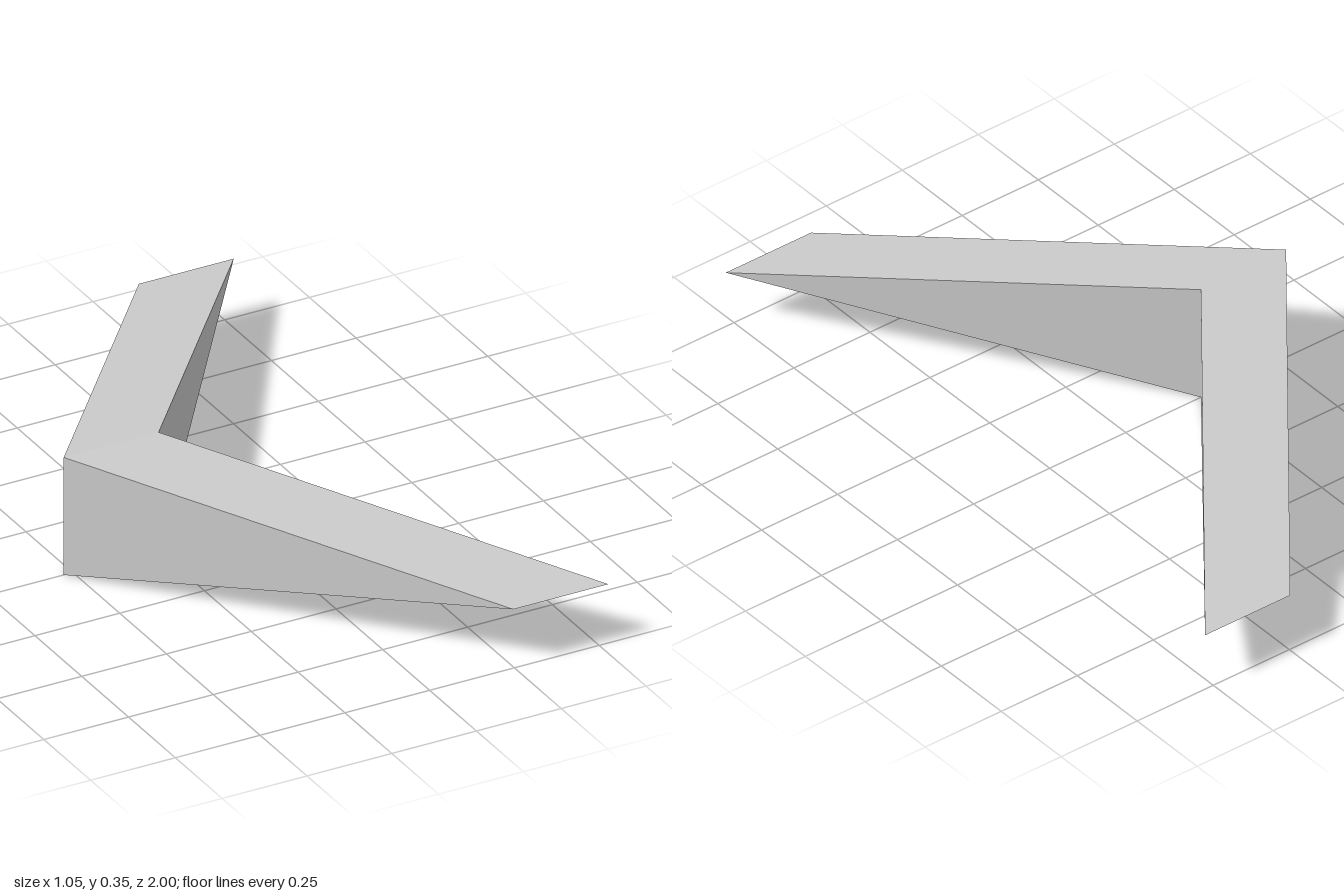
import * as THREE from 'three';

const OUTER_X = -0.527; // outer corner of the chevron
const WIDTH = 0.28;     // band width along x
const SWEEP = 0.774;    // how far an arm leans towards +x
const HEIGHT = 0.346;

// One arm: an upright triangle tapering to a level edge, swept along x.
function armGeometry(side) {
  const points = [];
  for (const x of [OUTER_X, OUTER_X + WIDTH]) {
    points.push(x, 0, 0, x, HEIGHT, 0, x + SWEEP, HEIGHT / 2, side);
  }
  const faces = [
    [0, 2, 1],            // outer side
    [3, 4, 5],            // inner side
    [1, 2, 5], [1, 5, 4], // sloping top
    [0, 3, 5], [0, 5, 2], // sloping underside
  ];
  const index = faces.flatMap((f) => (side > 0 ? f : [...f].reverse()));
  const indexed = new THREE.BufferGeometry();
  indexed.setAttribute('position', new THREE.Float32BufferAttribute(points, 3));
  indexed.setIndex(index);
  const geometry = indexed.toNonIndexed(); // separate corners keep the edges sharp
  geometry.computeVertexNormals();
  return geometry;
}

export function createModel() {
  const model = new THREE.Group();
  model.name = 'chevron';
  const grey = new THREE.MeshStandardMaterial({ color: 0xcccccc });
  grey.name = 'light grey';

  // Two mirrored arms meeting at the tall corner
  for (const [name, side] of [['frontArm', 1], ['backArm', -1]]) {
    const arm = new THREE.Mesh(armGeometry(side), grey);
    arm.name = name;
    model.add(arm);
  }
  return model;
}
